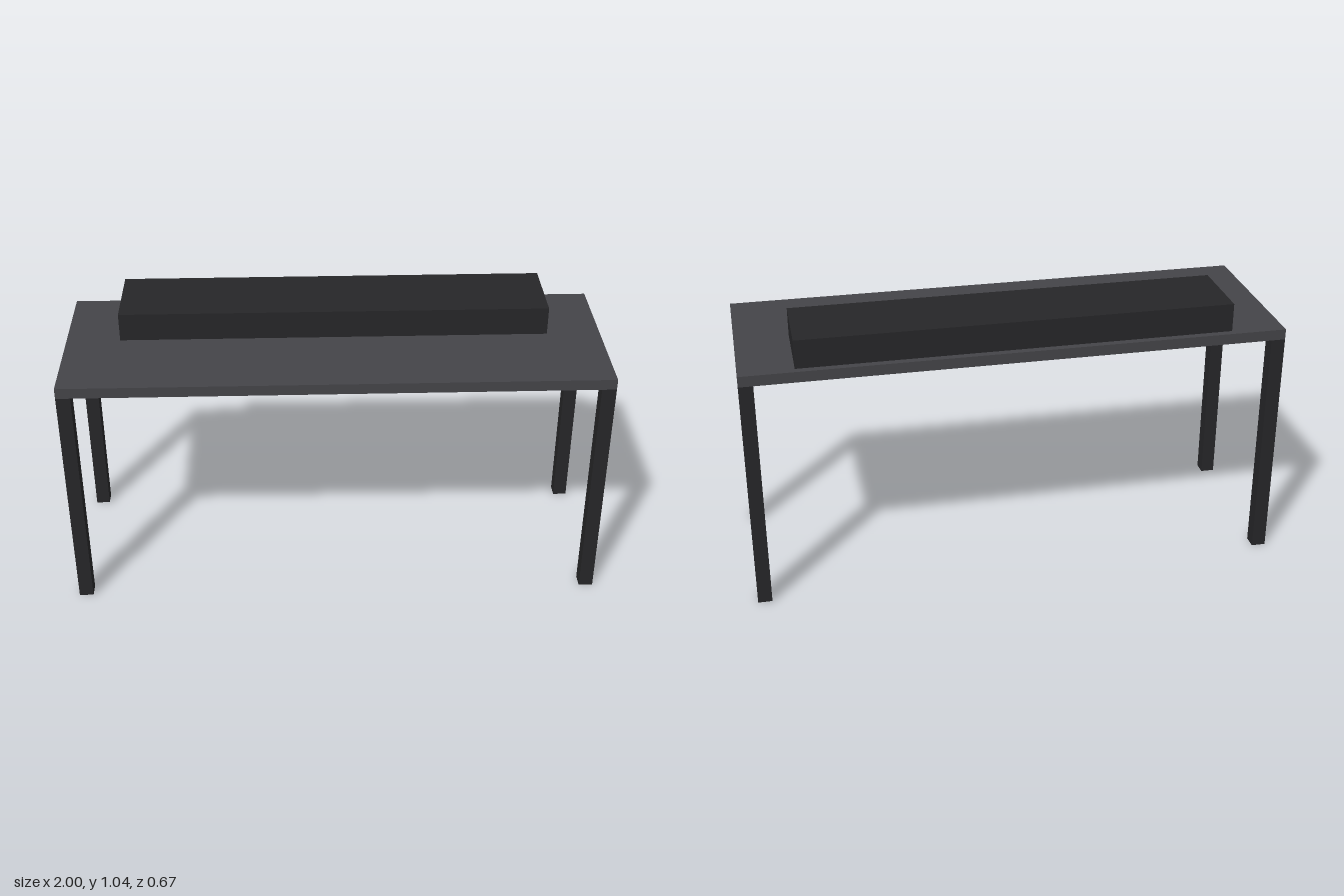
import * as THREE from 'three';

const WIDTH = 2, DEPTH = 0.667, TOP_Y = 0.933, TOP_THICK = 0.04, LEG = 0.053;

export function createModel() {
  const group = new THREE.Group();
  group.name = 'desk';
  const slate = new THREE.MeshStandardMaterial({ color: 0x444448 });
  const black = new THREE.MeshStandardMaterial({ color: 0x262628 });

  // Box placed by its centre in x and z and by its bottom in y
  function box(name, material, [w, h, d], [x, bottom, z]) {
    const mesh = new THREE.Mesh(new THREE.BoxGeometry(w, h, d), material);
    mesh.name = name;
    mesh.position.set(x, bottom + h / 2, z);
    group.add(mesh);
  }

  // Tabletop
  const legHeight = TOP_Y - TOP_THICK;
  box('tabletop', slate, [WIDTH, TOP_THICK, DEPTH], [0, legHeight, 0]);

  // Four square legs flush with the corners
  for (const [side, sx] of [['Left', 1], ['Right', -1]]) {
    for (const [end, sz] of [['front', 1], ['back', -1]]) {
      box(`${end}${side}Leg`, black, [LEG, legHeight, LEG],
        [sx * (WIDTH - LEG) / 2, 0, sz * (DEPTH - LEG) / 2]);
    }
  }

  // Long low riser along the back half
  box('riser', black, [1.6, 0.107, 0.294], [0, TOP_Y, -0.16]);

  return group;
}
